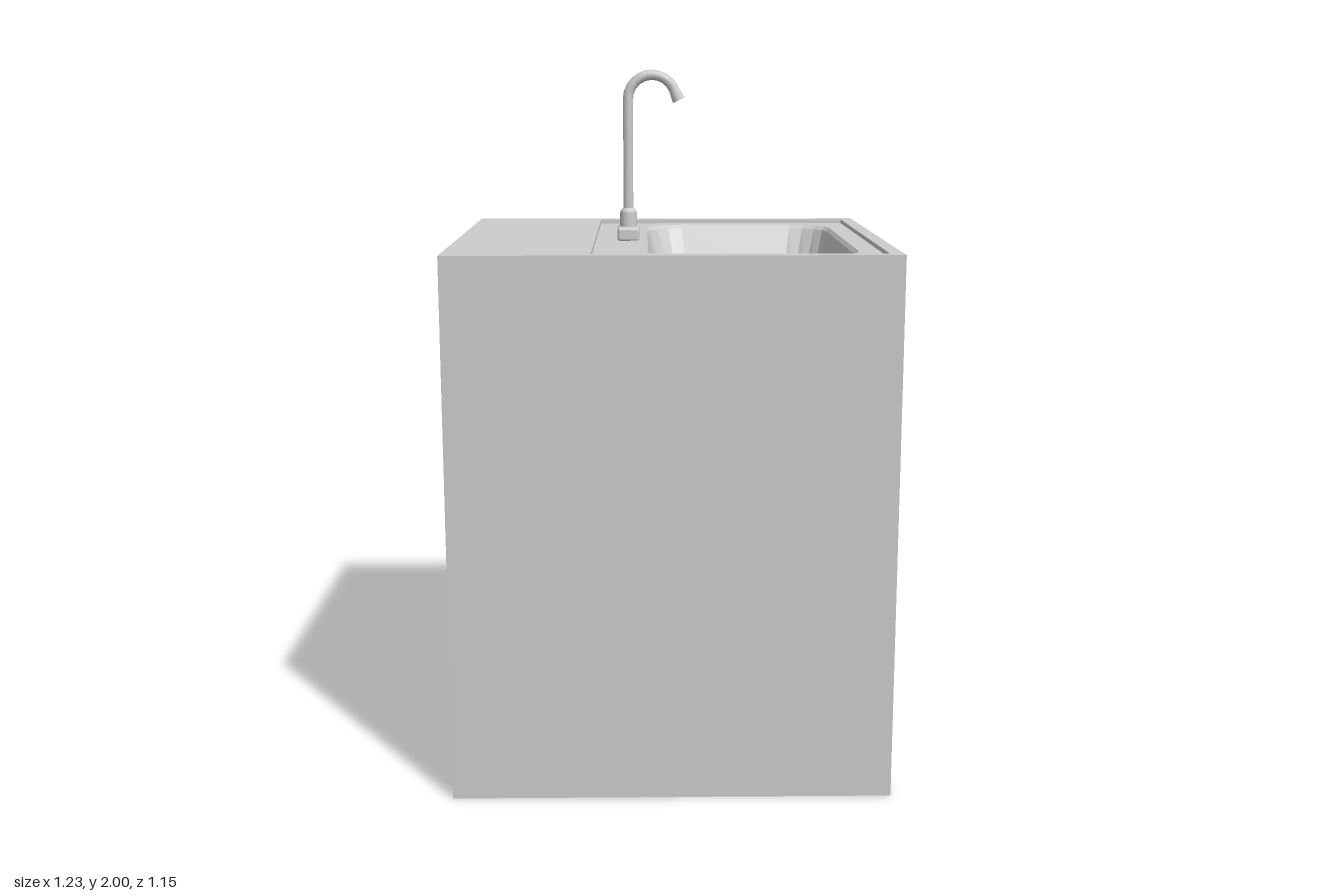
import * as THREE from 'three';
import { RoundedBoxGeometry } from 'three/addons/geometries/RoundedBoxGeometry.js';

const TOP = 1.52, PANEL = 1.508;
const flat = new THREE.MeshStandardMaterial({ color: 0xcccccc, flatShading: true, side: THREE.DoubleSide });
const smooth = new THREE.MeshStandardMaterial({ color: 0xcccccc });

function add(group, name, geometry, material, x = 0, y = 0, z = 0) {
  const mesh = new THREE.Mesh(geometry, material);
  mesh.name = name;
  mesh.position.set(x, y, z);
  group.add(mesh);
  return mesh;
}

// Rectangle outline with elliptical corners (n facets each), anticlockwise from above
function ring(x0, x1, halfZ, rx = 0, rz = 0, n = 0) {
  const points = [];
  const signs = [[1, 1], [-1, 1], [-1, -1], [1, -1]];
  signs.forEach(([sx, sz], q) => {
    for (let i = 0; i <= n; i++) {
      const a = (q + (n ? i / n : 0)) * Math.PI / 2;
      const cx = sx > 0 ? x1 - rx : x0 + rx;
      points.push(new THREE.Vector2(cx + rx * Math.cos(a), sz * (halfZ - rz) + rz * Math.sin(a)));
    }
  });
  return points;
}

// Inward-facing walls between stacked outlines, listed from top to bottom
function loft(rings, heights) {
  const pos = [];
  const put = (k, i) => pos.push(rings[k][i].x, heights[k], -rings[k][i].y);
  for (let k = 0; k + 1 < rings.length; k++) {
    const n = rings[k].length;
    for (let i = 0; i < n; i++) {
      const j = (i + 1) % n;
      put(k, i); put(k, j); put(k + 1, i);
      put(k, j); put(k + 1, j); put(k + 1, i);
    }
  }
  const g = new THREE.BufferGeometry();
  g.setAttribute('position', new THREE.Float32BufferAttribute(pos, 3));
  g.computeVertexNormals();
  return g;
}

// Horizontal sheet with an optional opening
function sheet(outline, y, hole) {
  const shape = new THREE.Shape(outline);
  if (hole) shape.holes.push(new THREE.Path(hole));
  return new THREE.ShapeGeometry(shape).rotateX(-Math.PI / 2).translate(0, y, 0);
}

export function createModel() {
  const model = new THREE.Group();
  model.name = 'sinkUnit';

  // Cabinet: box without its top face
  const box = new THREE.BoxGeometry(1.226, TOP, 1.154);
  const index = Array.from(box.index.array);
  index.splice(12, 6);
  box.setIndex(index);
  box.clearGroups();
  add(model, 'cabinet', box, flat, 0, TOP / 2, 0);

  // Worktop with a shallow recess for the sink panel
  const recess = ring(-0.215, 0.575, 0.532);
  add(model, 'worktop', sheet(ring(-0.613, 0.613, 0.577), TOP, recess), flat);
  add(model, 'recessStep', loft([recess, recess], [TOP, PANEL]), flat);

  // Basin: bevelled lip, steep walls, sloping lower band and floor
  const basin = [
    ring(-0.072, 0.517, 0.475, 0.115, 0.12, 4),
    ring(-0.063, 0.508, 0.463, 0.11, 0.115, 4),
    ring(-0.024, 0.467, 0.4, 0.09, 0.125, 4),
    ring(0.015, 0.426, 0.33, 0.085, 0.13, 4),
  ];
  const floorY = 1.24;
  add(model, 'sinkPanel', sheet(recess, PANEL, basin[0]), flat);
  add(model, 'basinWalls', loft(basin, [PANEL, 1.497, 1.34, floorY]), flat);
  add(model, 'basinFloor', sheet(basin[3], floorY, null), flat);

  // Tap
  const tap = new THREE.Group();
  tap.name = 'tap';
  tap.position.set(-0.12, 0, 0);
  model.add(tap);
  add(tap, 'tapBase', new RoundedBoxGeometry(0.064, 0.04, 0.122, 2, 0.008), smooth, 0, 1.526, 0);
  const collar = [[0.025, 1.543], [0.025, 1.585], [0.022, 1.594], [0.015, 1.6]];
  add(tap, 'tapCollar', new THREE.LatheGeometry(collar.map(p => new THREE.Vector2(...p)), 12), smooth);

  // Swan neck: straight riser followed by an arc
  const bend = 0.07, centreY = 1.915, endAngle = 25 * Math.PI / 180;
  add(tap, 'riser', new THREE.CylinderGeometry(0.015, 0.015, centreY - 1.59, 10, 1, true), smooth,
    0, (centreY + 1.59) / 2, 0);
  add(tap, 'neck', new THREE.TorusGeometry(bend, 0.015, 10, 10, Math.PI - endAngle).rotateZ(endAngle), smooth,
    bend, centreY, 0);

  // Flared spout, tangent to the end of the arc
  const spout = add(tap, 'spout', new THREE.CylinderGeometry(0.0155, 0.02, 0.036, 10), smooth);
  spout.rotation.z = endAngle;
  spout.position.set(
    bend + bend * Math.cos(endAngle) + 0.018 * Math.sin(endAngle),
    centreY + bend * Math.sin(endAngle) - 0.018 * Math.cos(endAngle), 0);

  return model;
}
